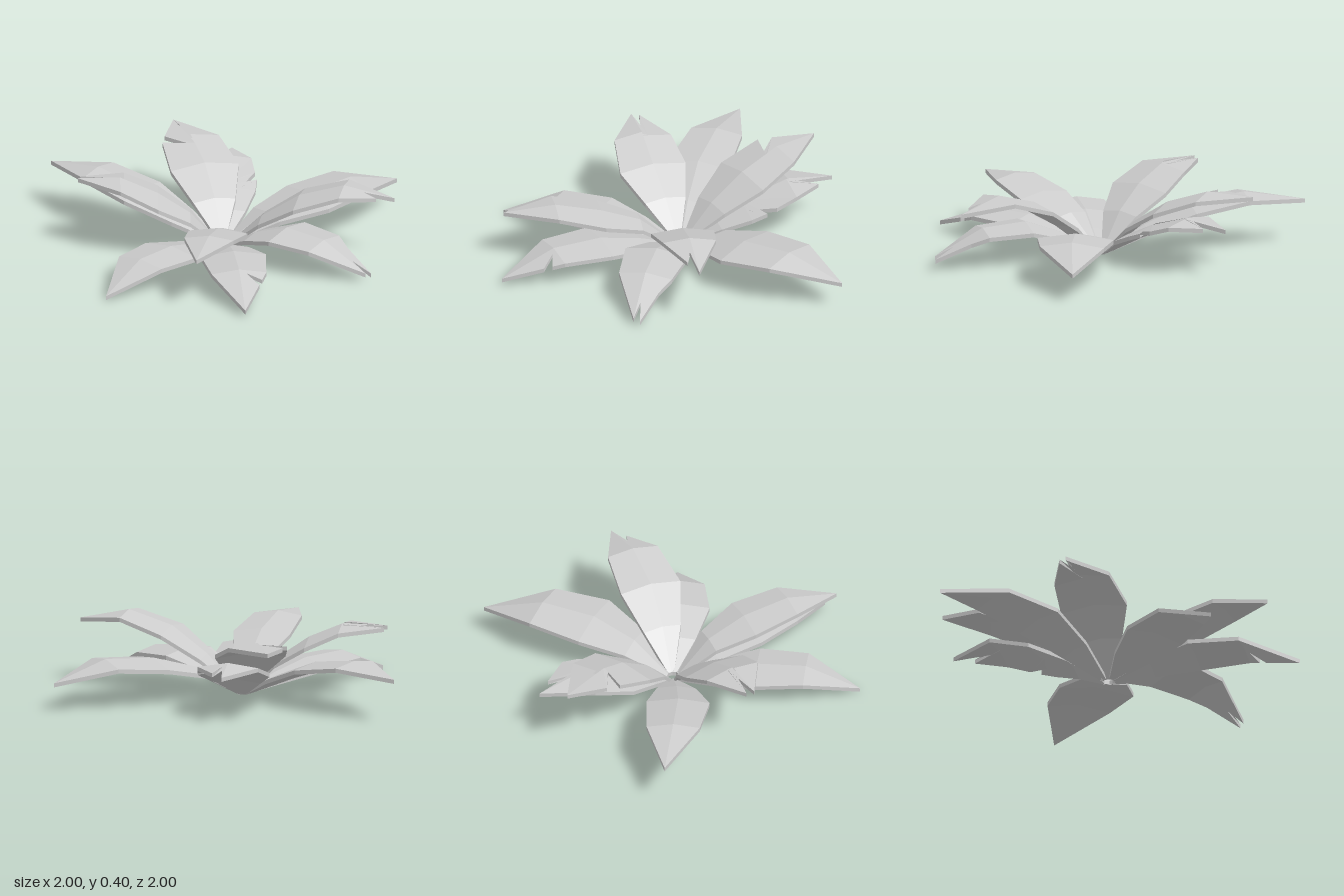
import * as THREE from 'three';

const CENTRE = new THREE.Vector3(0.1, 0.03, 0.02);
const GAP = 0.03; // distance of each leaf root from the centre
const STATIONS = [0, 0.2, 0.43, 0.7, 1]; // fractions of the leaf length
const PROFILE = [0.1, 0.62, 1, 0.84, 0]; // relative half-width at each station
const BOW = [0, 0.6, 1, 0.7, 0]; // relative sideways bend at each station
const THICK = 0.022, FOLD = 0.15;

// Piecewise linear value along the leaf
function along(values, t) {
  let i = 0;
  while (i < 3 && t > STATIONS[i + 1]) i++;
  const f = (t - STATIONS[i]) / (STATIONS[i + 1] - STATIONS[i]);
  return THREE.MathUtils.lerp(values[i], values[i + 1], f);
}

// One edge as rows of ridge position r, edge position t and half-width v.
// A tear is a pointed lobe from start to end, a notch back to start with the
// given depth, then the outline again from resume on.
function leafEdge(width, tears = []) {
  const rows = [];
  let from = 0;
  const outline = (t, r = t) => rows.push({ r, t, v: along(PROFILE, t) * width });
  const plain = (to) => STATIONS.filter((t) => t >= from && t < to).forEach((t) => outline(t));
  for (const { start, end, resume, notch = 0.15 } of tears) {
    plain(start);
    outline(start);
    const lobe = Math.max(along(PROFILE, Math.min(end, 1)), 0.22);
    rows.push({ r: start + 0.005, t: end, v: lobe * width });
    rows.push({ r: start + 0.01, t: start + 0.01, v: notch * width });
    if (resume) outline(resume, start + 0.015);
    from = resume ?? 1;
  }
  plain(Infinity);
  return rows;
}

// Folded, arched leaf from the root to its tip; rise gives the ridge heights
// at the inner stations, bow bends it sideways, and cw and ccw list the tears
// on each side as seen from above.
function createLeaf(name, [x, y, z], rise, width, { bow = 0, cw, ccw } = {}) {
  const dir = new THREE.Vector3(x - CENTRE.x, 0, z - CENTRE.z);
  const length = dir.length() - GAP;
  dir.normalize();
  const across = new THREE.Vector3(-dir.z, 0, dir.x);
  const heights = [CENTRE.y, ...rise, y];
  const point = (t, v, drop) => {
    const p = CENTRE.clone().addScaledVector(dir, GAP + t * length);
    p.addScaledVector(across, v + bow * along(BOW, t));
    p.y = Math.max(0, along(heights, t) - FOLD * Math.abs(v) - drop);
    return p;
  };

  const positions = [];
  const tri = (...corners) => corners.forEach((p) => positions.push(p.x, p.y, p.z));
  for (const [tears, side] of [[cw, 1], [ccw, -1]]) {
    const quad = (a, b, c, d) => {
      if (side > 0) { tri(a, c, b); tri(a, d, c); } else { tri(a, b, c); tri(a, c, d); }
    };
    const rows = leafEdge(width, tears).map(({ r, t, v }) => ({
      ridge: point(r, 0, 0), rim: point(t, v * side, 0),
      ridgeLow: point(r, 0, THICK), rimLow: point(t, v * side, THICK),
    }));
    // Top skin, underside and rim
    for (let i = 0; i < rows.length - 1; i++) {
      const a = rows[i], b = rows[i + 1];
      quad(a.ridge, b.ridge, b.rim, a.rim);
      quad(a.ridgeLow, a.rimLow, b.rimLow, b.ridgeLow);
      quad(a.rim, b.rim, b.rimLow, a.rimLow);
    }
    // Cut end at the root
    quad(rows[0].ridge, rows[0].rim, rows[0].rimLow, rows[0].ridgeLow);
  }

  const geometry = new THREE.BufferGeometry();
  geometry.setAttribute('position', new THREE.Float32BufferAttribute(positions, 3));
  geometry.computeVertexNormals();
  const material = new THREE.MeshStandardMaterial({
    color: 0xcccccc, flatShading: true, side: THREE.DoubleSide,
  });
  const mesh = new THREE.Mesh(geometry, material);
  mesh.name = name;
  return mesh;
}

export function createModel() {
  const group = new THREE.Group();
  group.name = 'leafyPlant';
  group.add(
    // Whole leaves
    createLeaf('rightLeaf', [-1, 0.235, 0.06], [0.14, 0.24, 0.285], 0.165, { bow: -0.045 }),
    createLeaf('backLeaf', [0.46, 0.15, -1], [0.16, 0.225, 0.245], 0.2, { bow: 0.065 }),
    createLeaf('frontLeaf', [0.07, 0.023, 1], [0.09, 0.14, 0.145], 0.17),
    createLeaf('upperFrontLeftLeaf', [0.54, 0.285, 0.84], [0.19, 0.27, 0.32], 0.155,
      { bow: -0.035 }),
    // Torn leaves
    createLeaf('upperBackLeftLeaf', [0.92, 0.345, -0.37], [0.2, 0.335, 0.405], 0.165,
      { bow: 0.03, cw: [{ start: 0.76, end: 0.9 }] }),
    createLeaf('leftLeaf', [0.99, 0.045, -0.03], [0.13, 0.2, 0.18], 0.17,
      { bow: 0.01, ccw: [{ start: 0.8, end: 1.01 }] }),
    createLeaf('lowerFrontLeftLeaf', [0.8, 0.04, 0.76], [0.1, 0.155, 0.155], 0.17,
      { ccw: [{ start: 0.7, end: 0.76, resume: 0.8 }] }),
    createLeaf('upperFrontRightLeaf', [-0.5, 0.39, 0.49], [0.2, 0.315, 0.4], 0.18,
      { bow: -0.025, cw: [{ start: 0.67, end: 0.98 }] }),
    createLeaf('upperBackRightLeaf', [-0.61, 0.39, -0.48], [0.2, 0.325, 0.4], 0.185,
      { bow: 0.02, ccw: [{ start: 0.61, end: 0.69, resume: 0.77 }] }),
    createLeaf('lowerBackRightLeaf', [-0.43, 0.26, -0.64], [0.14, 0.225, 0.29], 0.19,
      { cw: [{ start: 0.38, end: 0.48, resume: 0.55, notch: 0.5 }, { start: 0.69, end: 0.88 }] }),
  );
  return group;
}
